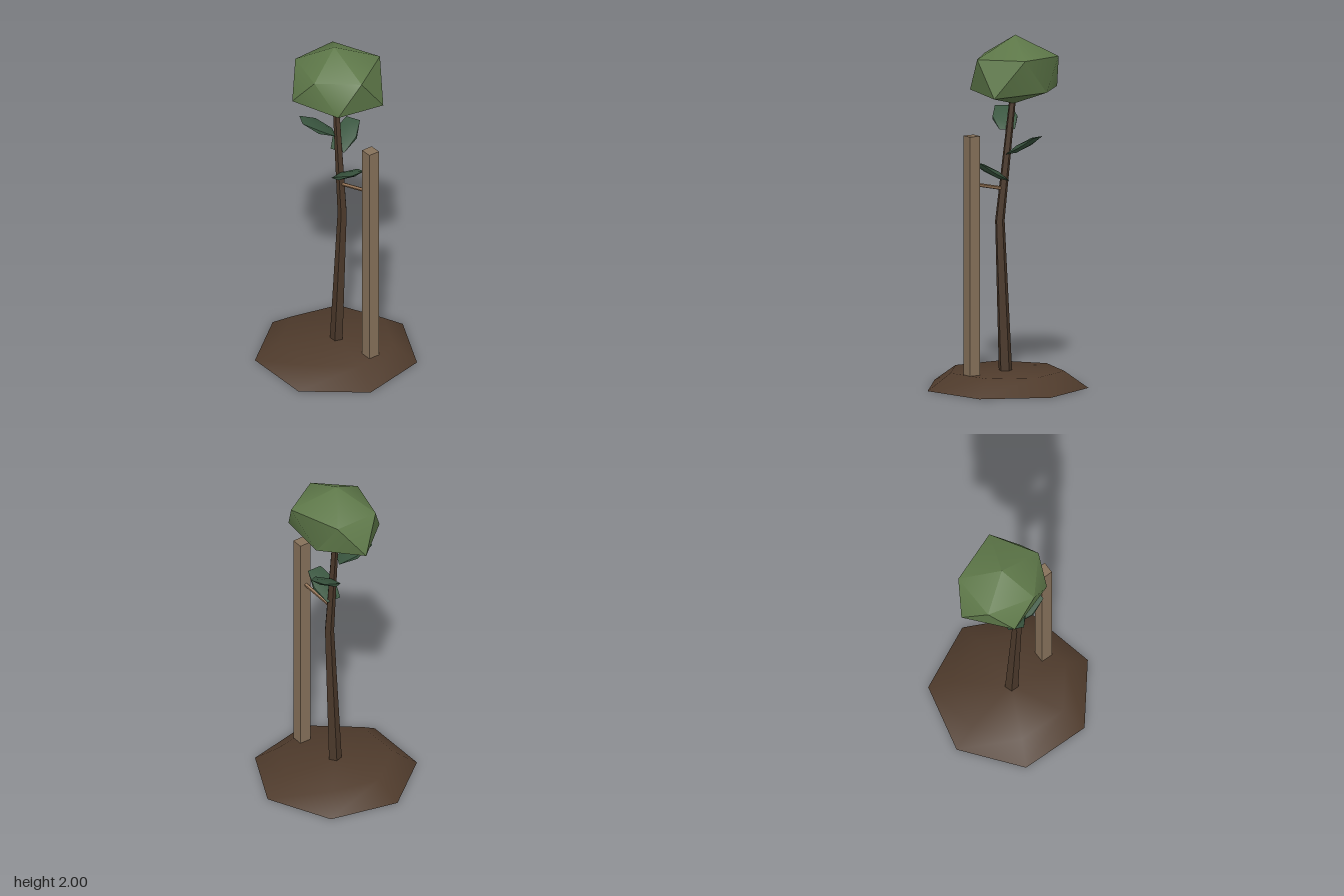
import * as THREE from 'three';
import { toCreasedNormals } from 'three/addons/utils/BufferGeometryUtils.js';

const material = (name, color) => {
  const m = new THREE.MeshStandardMaterial({ color });
  m.name = name;
  return m;
};

export function createModel() {
  const group = new THREE.Group();
  group.name = 'stakedSapling';

  const soil = material('soil brown', 0x4f3b2c);
  const bark = material('bark brown', 0x4a382a);
  const wood = material('stake wood', 0x86715a);
  const twine = material('tie tan', 0x947355);
  const foliage = material('crown green', 0x5e7849);
  const leafGreen = material('leaf green', 0x3a5640);

  const add = (name, geometry, mat) => {
    const mesh = new THREE.Mesh(toCreasedNormals(geometry, 0.7), mat);
    mesh.name = name;
    group.add(mesh);
    return mesh;
  };

  // Seven-sided soil mound
  add('soilMound', new THREE.CylinderGeometry(0.33, 0.467, 0.095, 7, 1, false, Math.PI)
    .translate(0, 0.0475, 0.022), soil);

  // Bent, tapering trunk: each ring follows one of three stations
  const stations = [
    { p: [0, 0.04, 0.022], r: 0.04 },
    { p: [0.045, 0.95, 0.013], r: 0.028 },
    { p: [-0.035, 1.66, 0], r: 0.019 },
  ];
  const trunk = new THREE.CylinderGeometry(1, 1, 2, 5, 2, false, Math.PI);
  const pos = trunk.attributes.position;
  for (let i = 0; i < pos.count; i++) {
    const { p, r } = stations[Math.round(pos.getY(i)) + 1];
    pos.setXYZ(i, p[0] + pos.getX(i) * r, p[1], p[2] + pos.getZ(i) * r);
  }
  add('trunk', trunk, bark);

  // Square support stake
  add('stake', new THREE.BoxGeometry(0.068, 1.455, 0.068).translate(0.256, 0.7275, -0.024), wood);

  // Thin tie between trunk and stake
  const from = new THREE.Vector3(0.03, 1.132, 0.01);
  const to = new THREE.Vector3(0.24, 1.178, -0.022);
  const tie = add('tie', new THREE.CylinderGeometry(0.011, 0.011, from.distanceTo(to), 5), twine);
  tie.position.lerpVectors(from, to, 0.5);
  tie.quaternion.setFromUnitVectors(new THREE.Vector3(0, 1, 0), to.clone().sub(from).normalize());

  // Leaves: flattened icosahedra, tilted up and turned around the trunk
  const leaves = [
    { at: [-0.055, 1.515, 0.115], turn: -25 },
    { at: [-0.055, 1.382, -0.082], turn: -155 },
    { at: [0.1, 1.233, 0.018], turn: 90 },
  ];
  leaves.forEach(({ at, turn }, i) => {
    add('leaf' + (i + 1), new THREE.IcosahedronGeometry(1, 0)
      .scale(0.083, 0.128, 0.018)
      .rotateX(Math.PI / 3)
      .rotateY(THREE.MathUtils.degToRad(turn))
      .translate(...at), leafGreen);
  });

  // Irregular crown: top point, two staggered rings of five, bottom point
  const upper = [[0.205, 1.88, 0], [0.045, 1.89, -0.25], [-0.25, 1.88, -0.14],
    [-0.24, 1.875, 0.13], [0.03, 1.875, 0.2]];
  const lower = [[0.195, 1.675, -0.16], [-0.13, 1.69, -0.2], [-0.33, 1.685, 0],
    [-0.13, 1.69, 0.235], [0.165, 1.69, 0.135]];
  const top = [-0.05, 2, 0];
  const bottom = [-0.04, 1.61, 0];
  const corners = [];
  for (let i = 0; i < 5; i++) {
    const j = (i + 1) % 5;
    corners.push(top, upper[i], upper[j]);
    corners.push(upper[i], lower[i], upper[j]);
    corners.push(lower[i], lower[j], upper[j]);
    corners.push(bottom, lower[j], lower[i]);
  }
  const crown = new THREE.BufferGeometry();
  crown.setAttribute('position', new THREE.Float32BufferAttribute(corners.flat(), 3));
  add('crown', crown, foliage);

  return group;
}
